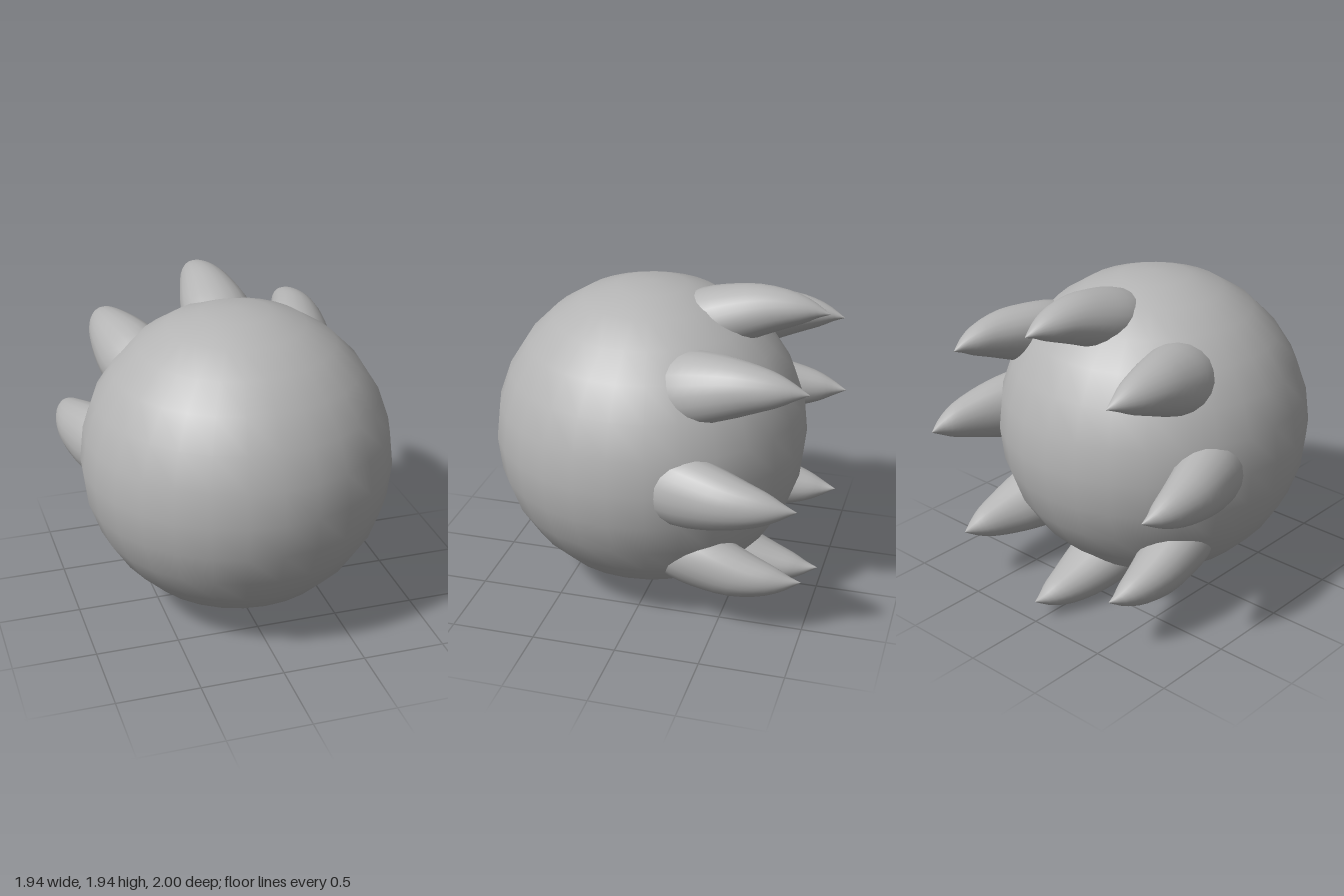
import * as THREE from 'three';

const CENTRE_Y = 0.97;

// Cross-sections of one spike from root to tip:
// outer height, outer z, inner height, inner z, half width
const SECTIONS = [
  [0.86, -0.12, 0.58, -0.45, 0.215],
  [0.915, -0.25, 0.63, -0.52, 0.21],
  [0.95, -0.4, 0.69, -0.65, 0.182],
  [0.97, -0.58, 0.735, -0.76, 0.142],
  [0.95, -0.76, 0.775, -0.86, 0.098],
  [0.905, -0.89, 0.81, -0.93, 0.05],
  [0.835, -1.0, 0.835, -1.0, 0],
];

// Curved horn lofted through the cross-sections, bending towards the back
function spikeGeometry(steps = 14, sides = 20) {
  const curve = (f) => new THREE.CatmullRomCurve3(SECTIONS.map(f));
  const outer = curve((s) => new THREE.Vector3(s[4], s[0], s[1]));
  const inner = curve((s) => new THREE.Vector3(s[4], s[2], s[3]));
  const positions = [];
  const index = [];
  for (let i = 0; i <= steps; i++) {
    const o = outer.getPoint(i / steps);
    const n = inner.getPoint(i / steps);
    for (let j = 0; j < sides; j++) {
      const a = (j / sides) * Math.PI * 2;
      const k = (1 + Math.cos(a)) / 2;
      positions.push(o.x * Math.sin(a), n.y + (o.y - n.y) * k, n.z + (o.z - n.z) * k);
      if (i === steps) continue;
      const p = i * sides + j;
      const q = i * sides + ((j + 1) % sides);
      index.push(p, q, p + sides);
      if (i < steps - 1) index.push(q, q + sides, p + sides);
    }
  }
  const geometry = new THREE.BufferGeometry();
  geometry.setAttribute('position', new THREE.Float32BufferAttribute(positions, 3));
  geometry.setIndex(index);
  geometry.computeVertexNormals();
  return geometry;
}

export function createModel() {
  const model = new THREE.Group();
  model.name = 'spikedBall';
  const grey = new THREE.MeshStandardMaterial({ color: 0xb4b4b4 });
  grey.name = 'grey';

  // Ball
  const ball = new THREE.Mesh(new THREE.SphereGeometry(0.94, 28, 14), grey);
  ball.name = 'ball';
  ball.position.set(0, CENTRE_Y, 0.055);
  model.add(ball);

  // Ring of eight spikes around the back
  const spikes = new THREE.Group();
  spikes.name = 'spikeRing';
  spikes.position.y = CENTRE_Y;
  const geometry = spikeGeometry();
  for (let i = 0; i < 8; i++) {
    const spike = new THREE.Mesh(geometry, grey);
    spike.name = 'spike' + (i + 1);
    spike.rotation.z = (i * Math.PI) / 4;
    spikes.add(spike);
  }
  model.add(spikes);
  return model;
}
